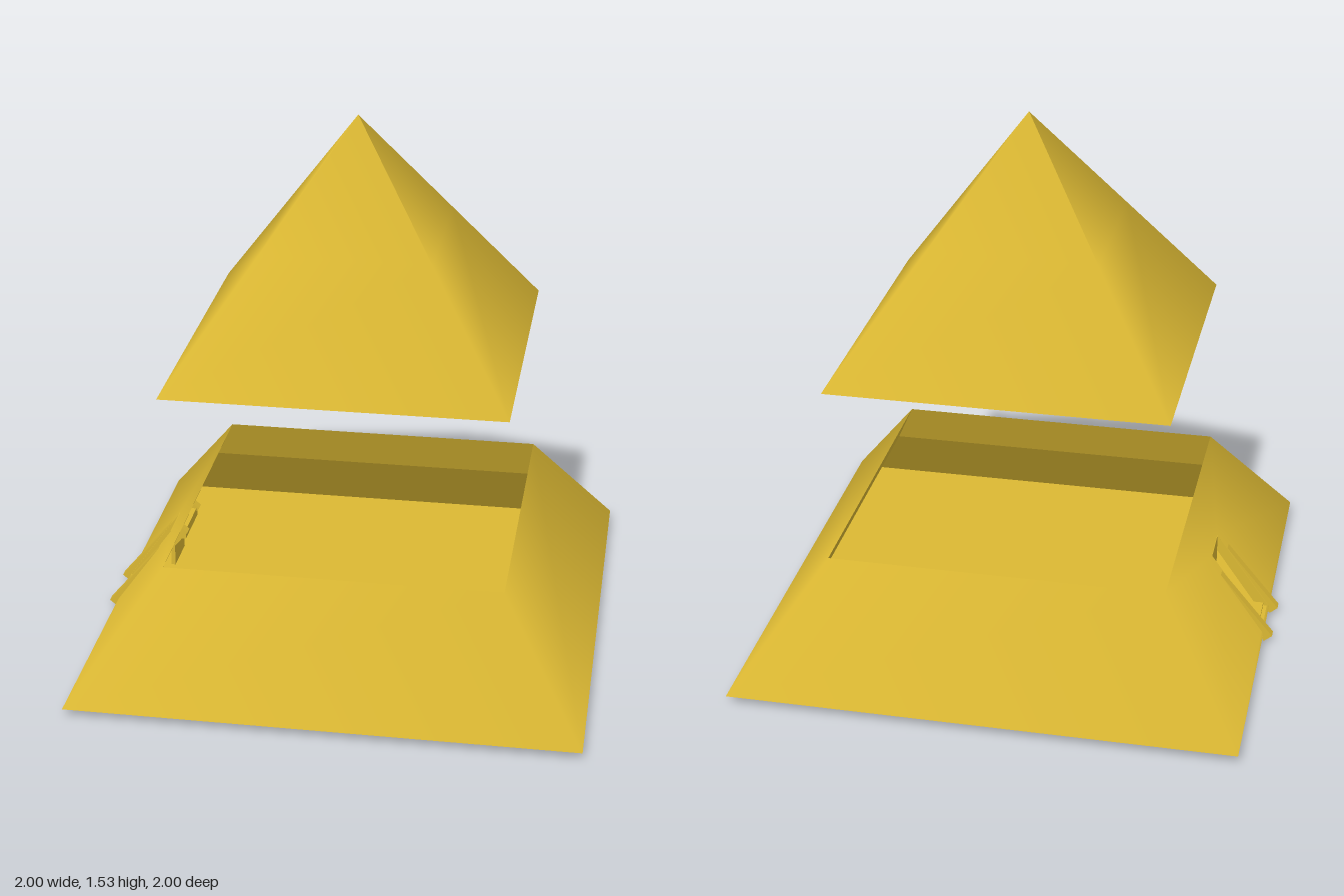
import * as THREE from 'three';

export function createModel() {
  const gold = new THREE.MeshStandardMaterial({ color: 0xdbb833, side: THREE.DoubleSide });
  gold.name = 'gold';
  const model = new THREE.Group();
  model.name = 'splitPyramid';

  const add = (parent, name, geometry) => {
    const mesh = new THREE.Mesh(geometry, gold);
    mesh.name = name;
    parent.add(mesh);
    return mesh;
  };

  // Box given by its limits: half width, y range, z range
  const block = (parent, name, halfW, y0, y1, z0, z1) => {
    const mesh = add(parent, name, new THREE.BoxGeometry(halfW * 2, y1 - y0, z1 - z0));
    mesh.position.set(0, (y0 + y1) / 2, (z0 + z1) / 2);
    return mesh;
  };

  const points = list => list.map(p => new THREE.Vector2(...p));

  // One side of a square ring: half side d0 at y0, half side d1 at y1, optional doorway
  const panel = (y0, d0, y1, d1, hole, smooth) => {
    const shape = new THREE.Shape(points([[-d0, y0], [d0, y0], [d1, y1], [-d1, y1]]));
    if (hole) {
      const [w, b, t] = hole;
      shape.holes.push(new THREE.Path(points([[-w, b], [-w, t], [w, t], [w, b]])));
    }
    const g = new THREE.ShapeGeometry(shape);
    const pos = g.attributes.position;
    for (let i = 0; i < pos.count; i++) {
      pos.setZ(i, d0 + (d1 - d0) * (pos.getY(i) - y0) / (y1 - y0));
    }
    g.computeVertexNormals();
    if (smooth) {
      // Blend the normals around the corners
      const n = new THREE.Vector3();
      for (let i = 0; i < pos.count; i++) {
        n.set(0.5 * pos.getX(i) / pos.getZ(i), Math.SQRT1_2, 0.5).normalize();
        g.attributes.normal.setXYZ(i, n.x, n.y, n.z);
      }
    }
    return g;
  };

  // Floating hollow cap
  add(model, 'floatingCap', new THREE.ConeGeometry(0.665, 0.665, 4, 2, true)).position.y = 1.1945;

  // Underside rim
  add(model, 'baseRim', new THREE.RingGeometry(0.94, 1, 4).rotateX(Math.PI / 2)).position.y = 0.026;

  // Lower part, with the doorway on its local +z side
  const base = new THREE.Group();
  base.name = 'base';
  base.rotation.y = -Math.PI * 3 / 4;
  model.add(base);

  for (let i = 0; i < 4; i++) {
    const door = i === 0;
    const walls = [
      add(base, 'outerWall', panel(0.026, 0.707, 0.357, 0.47, door && [0.06, 0.034, 0.25], true)),
      add(base, 'innerWall', panel(0.026, 0.671, 0.225, 0.53, door && [0.06, 0.034, 0.2])),
      add(base, 'innerRim', panel(0.225, 0.53, 0.357, 0.47)),
    ];
    walls.forEach(w => { w.rotation.y = i * Math.PI / 2; });
  }

  // Floor
  block(base, 'floor', 0.672, 0.021, 0.032, -0.672, 0.672);

  // Doorway
  block(base, 'threshold', 0.095, 0.03, 0.038, 0.625, 0.69);
  block(base, 'doorHeader', 0.06, 0.14, 0.25, 0.536, 0.548);
  block(base, 'lintel', 0.078, 0.238, 0.265, 0.498, 0.53);
  const passage = new THREE.Shape(points([[0.665, 0.034], [0.701, 0.034], [0.553, 0.24], [0.53, 0.225]]));
  for (const s of [-1, 1]) {
    const side = add(base, 'passageWall', new THREE.ShapeGeometry(passage));
    side.rotation.y = -Math.PI / 2;
    side.position.x = s * 0.06;

    // Leaning door post
    const foot = new THREE.Vector3(s * 0.078, 0.0115, 0.721);
    const top = new THREE.Vector3(s * 0.078, 0.275, 0.501);
    const post = add(base, 'doorPost', new THREE.BoxGeometry(0.026, foot.distanceTo(top), 0.03));
    post.position.copy(foot).lerp(top, 0.5);
    post.rotation.x = Math.atan2(top.z - foot.z, top.y - foot.y);
  }

  return model;
}
